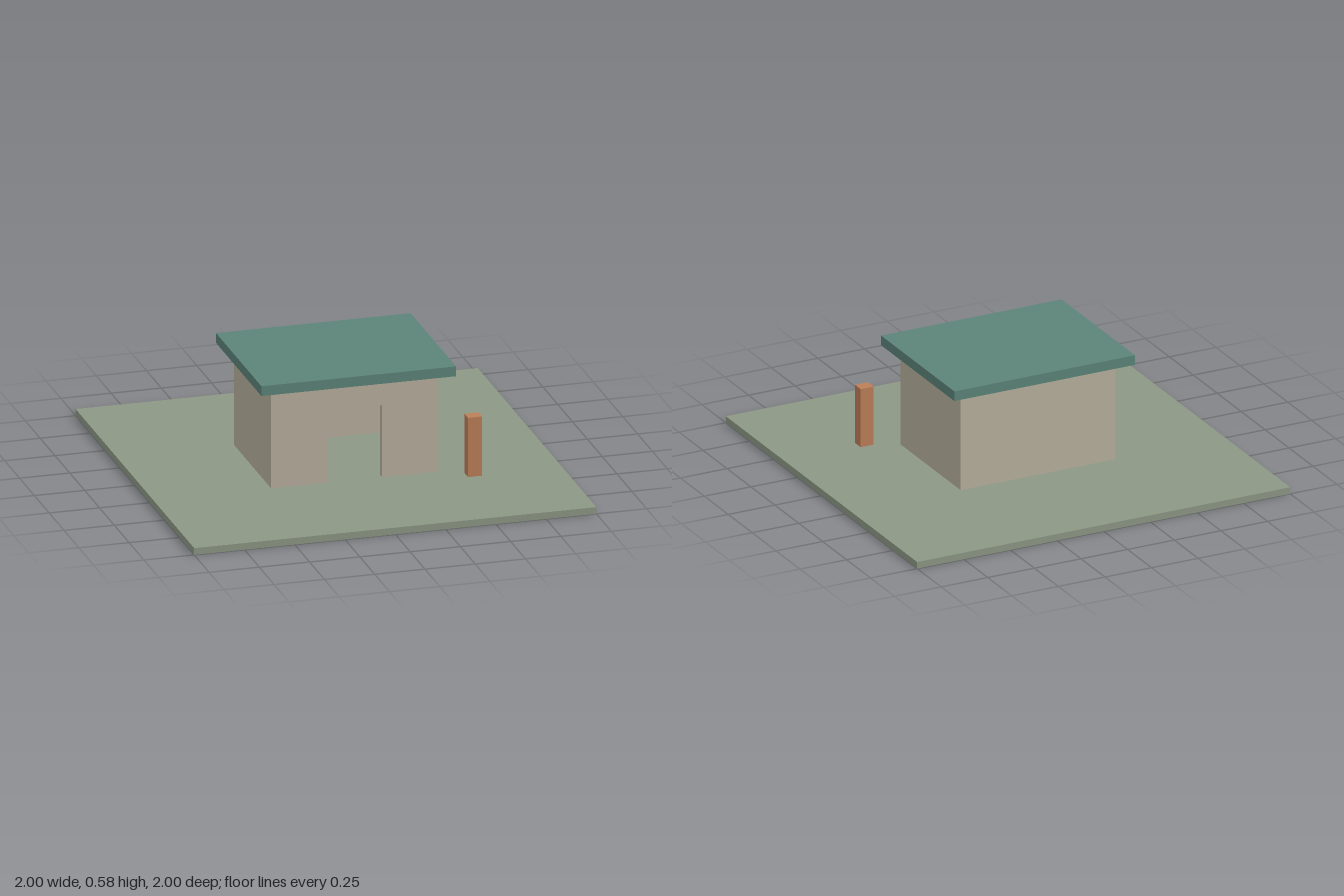
import * as THREE from 'three';

const material = (name, color) => {
  const m = new THREE.MeshStandardMaterial({ color });
  m.name = name;
  return m;
};

// Box given by its minimum and maximum corners
function block(name, mat, [x0, y0, z0], [x1, y1, z1]) {
  const mesh = new THREE.Mesh(new THREE.BoxGeometry(x1 - x0, y1 - y0, z1 - z0), mat);
  mesh.position.set((x0 + x1) / 2, (y0 + y1) / 2, (z0 + z1) / 2);
  mesh.name = name;
  return mesh;
}

export function createModel() {
  const grass = material('sage green', 0x8c9784);
  const plaster = material('warm stone', 0xb8b09e);
  const roofing = material('teal green', 0x5c8479);
  const timber = material('copper orange', 0xbc7f58);

  const floor = 0.034, eaves = 0.535;
  const w = 0.415, d = 0.315, t = 0.035; // half width, half depth, wall thickness
  const doorHalf = 0.137, doorTop = 0.4;

  const model = new THREE.Group();
  model.name = 'hut';
  model.add(block('ground', grass, [-1, 0, -1], [1, floor, 1]));

  // Hollow walls: back and sides
  const walls = new THREE.Group();
  walls.name = 'walls';
  walls.add(block('backWall', plaster, [-w, floor, -d], [w, eaves, -d + t]));
  walls.add(block('rightWall', plaster, [-w, floor, -d + t], [-w + t, eaves, d - t]));
  walls.add(block('leftWall', plaster, [w - t, floor, -d + t], [w, eaves, d - t]));

  // Front wall in one piece with an open doorway
  const front = new THREE.Shape([
    [-w, floor], [-doorHalf, floor], [-doorHalf, doorTop], [doorHalf, doorTop],
    [doorHalf, floor], [w, floor], [w, eaves], [-w, eaves],
  ].map(([x, y]) => new THREE.Vector2(x, y)));
  const frontWall = new THREE.Mesh(
    new THREE.ExtrudeGeometry(front, { depth: t, bevelEnabled: false }), plaster);
  frontWall.position.z = d - t;
  frontWall.name = 'frontWall';
  walls.add(frontWall);
  model.add(walls);

  // Overhanging flat roof and the free-standing post
  model.add(block('roof', roofing, [-0.484, eaves, -0.383], [0.484, 0.585, 0.383]));
  model.add(block('post', timber, [0.53, floor, 0.37], [0.6, 0.335, 0.43]));
  return model;
}
